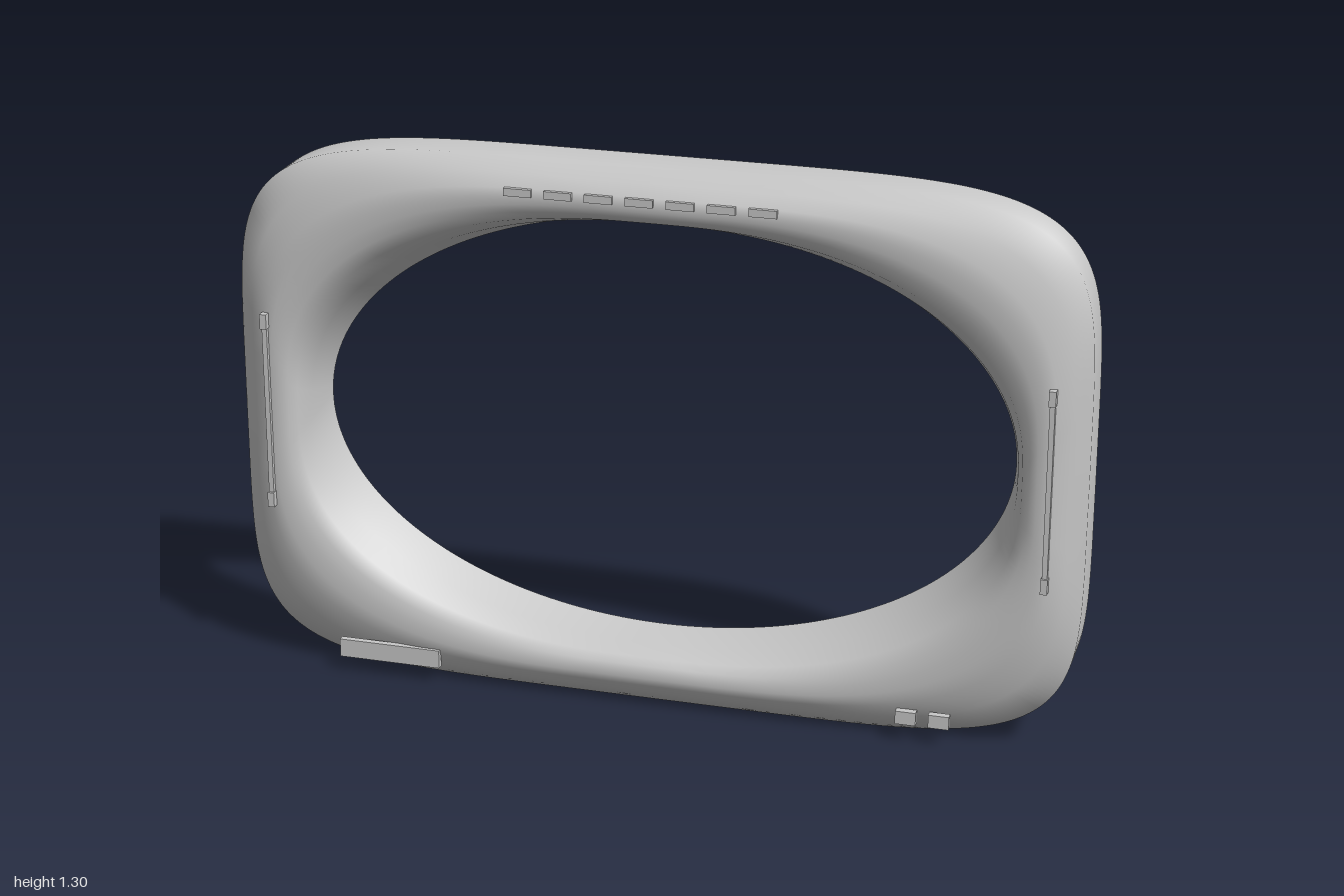
import * as THREE from 'three';

const grey = new THREE.MeshStandardMaterial({ color: 0xc8c8c8, side: THREE.DoubleSide });
grey.name = 'light grey';

const CENTER_Y = 0.65;
const SEGMENTS = 192;

// Blend from the rounded-rectangle outline (t = 0) to the oval opening (t = 1)
function ringPoint(angle, t) {
  const c = Math.cos(angle), s = Math.sin(angle);
  const squared = (v) => Math.sign(v) * Math.pow(Math.abs(v) < 1e-9 ? 0 : Math.abs(v), 2 / 5.5);
  return [
    THREE.MathUtils.lerp(squared(c), 0.82 * c, t),
    CENTER_Y + THREE.MathUtils.lerp(0.65 * squared(s), 0.5 * s, t),
  ];
}

// Open-backed shell lofted through [blend, depth] rings
function shellGeometry() {
  const rings = [
    [0, -0.085], [0, 0.015], [0.2, 0.044], [0.38, 0.067], [0.5, 0.07], [0.6, 0.069],
    [0.7, 0.064], [0.8, 0.049], [0.9, 0.0], [1, -0.085],
  ];
  const positions = [], indices = [];
  rings.forEach(([t, z], j) => {
    for (let i = 0; i < SEGMENTS; i++) {
      positions.push(...ringPoint((i / SEGMENTS) * Math.PI * 2, t), z);
      if (j === rings.length - 1) continue;
      const a = j * SEGMENTS + i;
      const b = j * SEGMENTS + ((i + 1) % SEGMENTS);
      indices.push(a, b, a + SEGMENTS, b, b + SEGMENTS, a + SEGMENTS);
    }
  });
  const geometry = new THREE.BufferGeometry();
  geometry.setAttribute('position', new THREE.Float32BufferAttribute(positions, 3));
  geometry.setIndex(indices);
  geometry.computeVertexNormals();
  return geometry;
}

function addBox(parent, name, [w, h, d], [x, y, z]) {
  const mesh = new THREE.Mesh(new THREE.BoxGeometry(w, h, d), grey);
  mesh.name = name;
  mesh.position.set(x, y, z);
  parent.add(mesh);
}

export function createModel() {
  const model = new THREE.Group();
  model.name = 'ovalBezel';

  const shell = new THREE.Mesh(shellGeometry(), grey);
  shell.name = 'bezelShell';
  model.add(shell);

  // Slim side rails with end caps
  for (const side of [-1, 1]) {
    const rail = new THREE.Group();
    rail.name = side > 0 ? 'leftRail' : 'rightRail';
    addBox(rail, 'railBar', [0.012, 0.46, 0.022], [side * 0.92, CENTER_Y, 0.068]);
    for (const end of [-1, 1]) {
      addBox(rail, 'railCap', [0.016, 0.036, 0.034], [side * 0.92, CENTER_Y + end * 0.222, 0.068]);
    }
    model.add(rail);
  }

  // Row of vents along the top
  const vents = new THREE.Group();
  vents.name = 'topVents';
  for (let i = -3; i <= 3; i++) {
    addBox(vents, 'vent', [0.064, 0.018, 0.02], [-0.016 + i * 0.094, 1.233, 0.067]);
  }
  model.add(vents);

  // Lower plate and two buttons
  addBox(model, 'lowerPlate', [0.25, 0.045, 0.016], [-0.637, 0.061, 0.068]);
  for (const x of [0.616, 0.693]) {
    addBox(model, 'button', [0.048, 0.032, 0.018], [x, 0.061, 0.068]);
  }

  return model;
}
